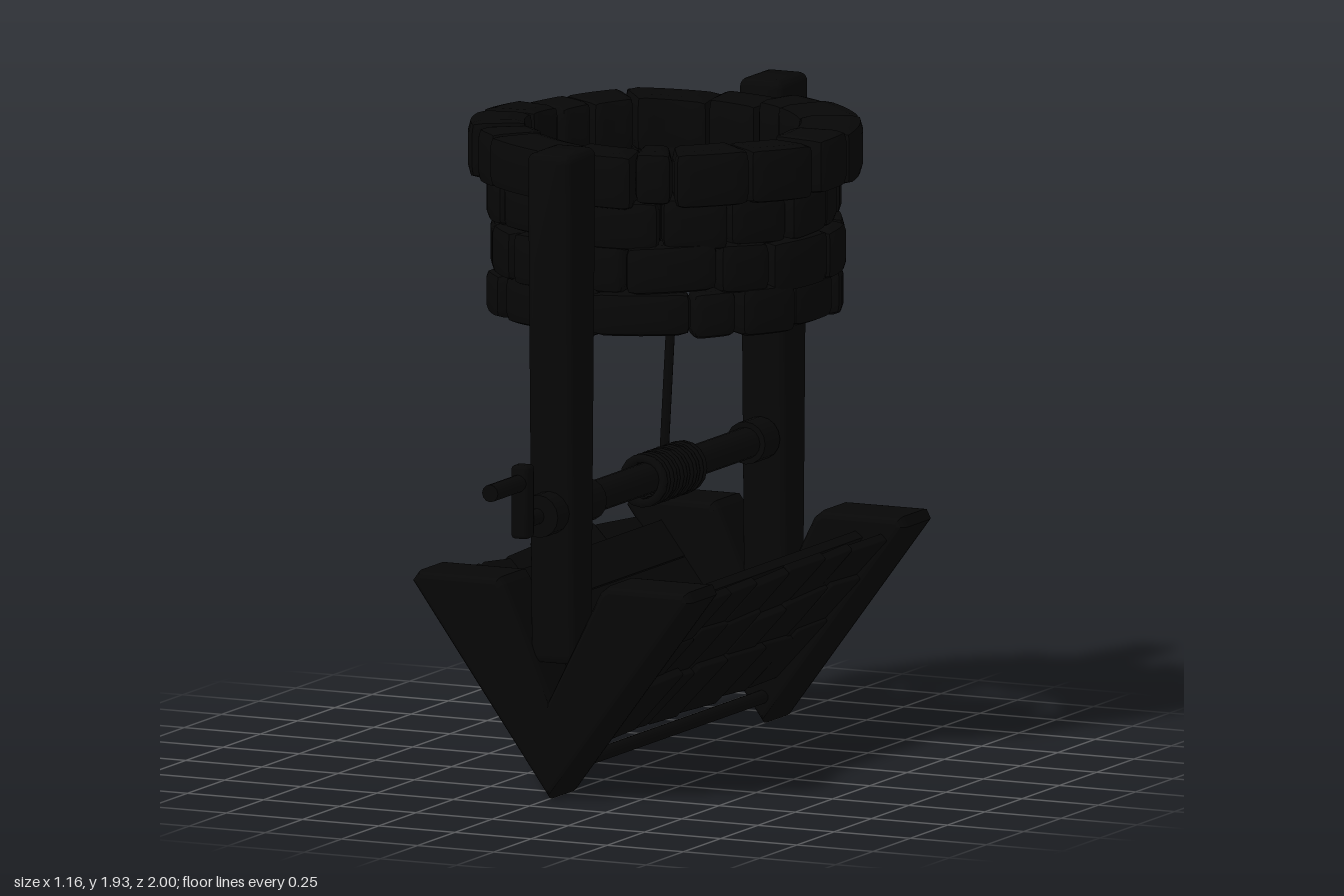
import * as THREE from 'three';
import { toCreasedNormals } from 'three/addons/utils/BufferGeometryUtils.js';
import { RoundedBoxGeometry } from 'three/addons/geometries/RoundedBoxGeometry.js';

const material = new THREE.MeshStandardMaterial({ color: 0x070707 });
const RING_Z = -0.165;
const FRONT_Z = 0.535, BACK_Z = -0.9;

// Small seeded generator for the hand-made irregularities
let seed = 7;
const rand = (a, b) => {
  seed = (seed * 16807) % 2147483647;
  return a + (b - a) * (seed / 2147483647);
};

function add(parent, name, geometry, x = 0, y = 0, z = 0) {
  const mesh = new THREE.Mesh(geometry, material);
  mesh.name = name;
  mesh.position.set(x, y, z);
  parent.add(mesh);
  return mesh;
}

// Rod lying along z between two positions
function rod(parent, name, radius, z0, z1, y, x = 0, sides = 16) {
  const g = new THREE.CylinderGeometry(radius, radius, Math.abs(z1 - z0), sides).rotateX(Math.PI / 2);
  return add(parent, name, g, x, y, (z0 + z1) / 2);
}

// Block with softened edges, bent around the vertical axis of the well
function stoneGeometry(a0, a1, inner, outer, height) {
  const mid = (inner + outer) / 2;
  const half = new THREE.Vector3((a1 - a0) * mid / 2, height / 2, (outer - inner) / 2);
  const g = new THREE.BoxGeometry(half.x * 2, half.y * 2, half.z * 2, 8, 5, 5);
  const p = g.attributes.position;
  const round = 0.025;
  const limit = half.clone().subScalar(round);
  const low = limit.clone().negate();
  const tilt = rand(-0.07, 0.07), bulge = rand(-0.06, 0.06);
  const v = new THREE.Vector3(), core = new THREE.Vector3();
  for (let i = 0; i < p.count; i++) {
    v.fromBufferAttribute(p, i);
    core.copy(v).clamp(low, limit);
    v.sub(core).setLength(round).add(core);
    const a = (a0 + a1) / 2 + v.x / mid;
    const r = mid + v.z + v.x * bulge;
    p.setXYZ(i, Math.sin(a) * r, v.y + v.x * tilt, Math.cos(a) * r);
  }
  return toCreasedNormals(g, 0.7);
}

// One ring of stones of uneven width
function course(parent, name, count, y0, y1, inner, outer, offset) {
  const ring = new THREE.Group();
  ring.name = name;
  ring.position.z = RING_Z;
  const step = (Math.PI * 2) / count;
  const seams = Array.from({ length: count }, (_, i) => offset + (i + rand(-0.25, 0.25)) * step);
  seams.push(seams[0] + Math.PI * 2);
  for (let i = 0; i < count; i++) {
    const g = stoneGeometry(seams[i] + 0.005, seams[i + 1] - 0.005,
      inner + rand(-0.01, 0.01), outer + rand(-0.014, 0.01), y1 - y0 + rand(0, 0.018));
    add(ring, 'stone', g, 0, (y0 + y1) / 2 + rand(-0.007, 0.007), 0);
  }
  parent.add(ring);
}

// Tapered upright, wider at the top
function post(parent, name, z) {
  const g = new RoundedBoxGeometry(0.145, 1.53, 0.195, 3, 0.028);
  const p = g.attributes.position;
  for (let i = 0; i < p.count; i++) {
    const t = (p.getY(i) + 0.765) / 1.53;
    p.setZ(i, p.getZ(i) * (0.68 + 0.34 * t));
  }
  add(parent, name, toCreasedNormals(g, 0.7), 0.003, 1.16, z);
}

// V-shaped end frame with bevelled edges
function endFrame(parent, name, z) {
  const s = new THREE.Shape([
    [0.005, -0.007], [0.47, 0.615], [0.455, 0.645], [0.195, 0.645], [0.17, 0.625],
    [0.005, 0.295], [-0.145, 0.625], [-0.16, 0.645], [-0.425, 0.645], [-0.447, 0.615],
  ].map(([x, y]) => new THREE.Vector2(x, y)));
  const g = new THREE.ExtrudeGeometry(s, {
    depth: 0.145, bevelThickness: 0.03, bevelSize: 0.02, bevelOffset: -0.02, bevelSegments: 3,
  });
  add(parent, name, g, 0, 0, z - 0.0725);
}

// Sloping side of the roof: long boards inside, overlapping shingles outside
function roofSide(parent, name, side) {
  const slope = new THREE.Group();
  slope.name = name;
  slope.position.set(0.005, 0.01, 0);
  slope.rotation.z = -side * 0.645;
  const lift = side < 0 ? 0.0 : -0.025;
  for (let i = 0; i < 4; i++) {
    add(slope, 'innerBoard', new THREE.BoxGeometry(0.03, 0.127, 1.3),
      side * (lift - 0.055 - rand(0, 0.015)), 0.2 + i * 0.13, -0.18);
  }
  const count = 6;
  const width = 1.24 / count;
  for (let row = 0; row < 3; row++) {
    const seams = Array.from({ length: count + 1 }, (_, i) =>
      -0.805 + (i + (i % count ? rand(-0.3, 0.3) : 0)) * width);
    for (let i = 0; i < count; i++) {
      const length = 0.225 + rand(-0.015, 0.03);
      const g = new RoundedBoxGeometry(0.03, length, seams[i + 1] - seams[i] + 0.004, 1, 0.006);
      const shingle = add(slope, 'shingle', g, side * (lift - 0.012 + rand(-0.006, 0.006)),
        0.123 + row * 0.18 + length / 2, (seams[i] + seams[i + 1]) / 2);
      shingle.rotation.z = -side * 0.1;
      shingle.rotation.x = rand(-0.12, 0.12);
    }
  }
  parent.add(slope);
}

export function createModel() {
  const model = new THREE.Group();
  model.name = 'invertedWell';

  // Stone wall
  const wall = new THREE.Group();
  wall.name = 'stoneWall';
  model.add(wall);
  course(wall, 'lowestCourse', 15, 1.335, 1.465, 0.385, 0.52, 0.1);
  course(wall, 'secondCourse', 15, 1.465, 1.61, 0.385, 0.523, 0.32);
  course(wall, 'thirdCourse', 15, 1.61, 1.745, 0.385, 0.52, 0.08);
  course(wall, 'rimCourse', 16, 1.74, 1.895, 0.4, 0.578, 0.2);

  // Uprights and end frames
  post(model, 'frontPost', 0.54);
  post(model, 'backPost', -0.882);
  endFrame(model, 'frontEndFrame', FRONT_Z);
  endFrame(model, 'backEndFrame', BACK_Z);

  // Roof
  const roof = new THREE.Group();
  roof.name = 'roof';
  model.add(roof);
  roofSide(roof, 'leftRoofSide', 1);
  roofSide(roof, 'rightRoofSide', -1);
  rod(roof, 'ridgeRod', 0.021, 0.5, -0.87, 0.075, 0.005, 10);

  // Winch: axle, collars and crank
  const winch = new THREE.Group();
  winch.name = 'winch';
  model.add(winch);
  rod(winch, 'axle', 0.047, 0.66, -0.86, 0.85);
  for (const [z0, z1] of [[0.69, 0.6], [0.46, 0.36], [-0.7, -0.8]]) {
    rod(winch, 'collar', 0.064, z0, z1, 0.85);
  }
  rod(winch, 'crankShaft', 0.024, 0.8, 0.66, 0.85, -0.005, 12);
  add(winch, 'crankArm', toCreasedNormals(new RoundedBoxGeometry(0.055, 0.22, 0.055, 2, 0.012), 0.7), -0.005, 0.91, 0.785);
  rod(winch, 'crankHandle', 0.026, 1.0, 0.79, 0.967, -0.007, 12);

  // Rope wound round the axle, then rising into the well
  const points = [];
  const turns = 13;
  for (let i = 0; i <= turns * 12; i++) {
    const a = Math.PI + (i / 12) * Math.PI * 2;
    points.push(new THREE.Vector3(-0.01 + Math.cos(a) * 0.066, 0.842 + Math.sin(a) * 0.066,
      -0.022 - 0.285 * (i / (turns * 12))));
  }
  const coil = new THREE.CatmullRomCurve3(points);
  add(winch, 'ropeCoil', new THREE.TubeGeometry(coil, turns * 16, 0.0145, 6));
  const rise = new THREE.LineCurve3(new THREE.Vector3(-0.077, 0.845, -0.307), new THREE.Vector3(-0.045, 1.4, -0.305));
  add(winch, 'rope', new THREE.TubeGeometry(rise, 1, 0.0145, 8));

  return model;
}
